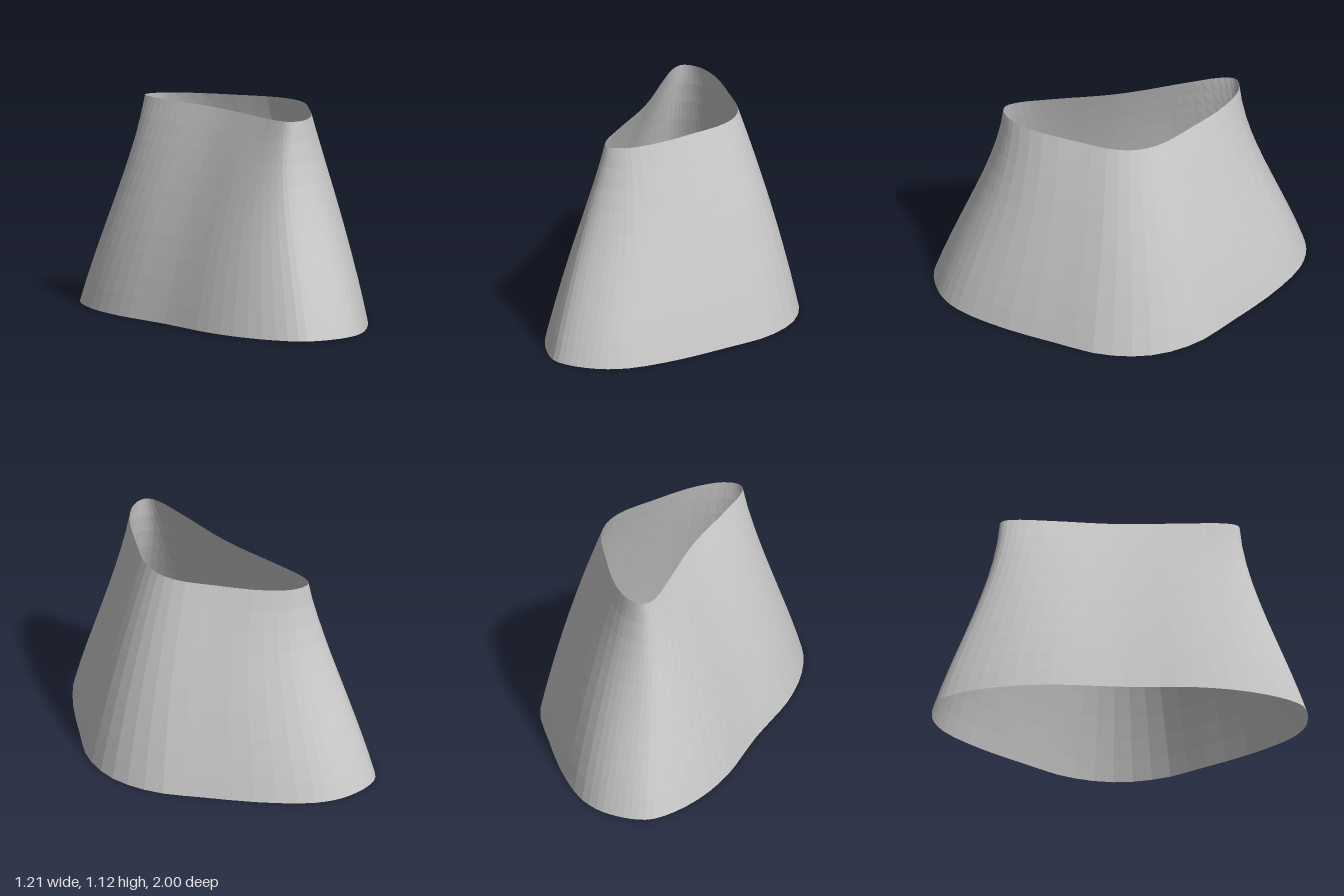
import * as THREE from 'three';

// Half outlines (x, z) from the nose (+x) round to the hollow side (-x); point i of one matches point i of the other.
const BASE = [[0.607, 0], [0.55, 0.25], [0.4, 0.475], [0.2, 0.74], [0.01, 0.925], [-0.12, 0.987], [-0.22, 1],
  [-0.32, 0.992], [-0.41, 0.955], [-0.5, 0.83], [-0.575, 0.62], [-0.607, 0.38], [-0.6, 0.15], [-0.595, 0]];
const RIM = [[0.277, 0], [0.25, 0.13], [0.14, 0.31], [0.01, 0.5], [-0.1, 0.605], [-0.16, 0.633], [-0.2, 0.638],
  [-0.228, 0.63], [-0.248, 0.605], [-0.26, 0.53], [-0.255, 0.42], [-0.245, 0.28], [-0.232, 0.13], [-0.227, 0]];
const HEIGHT = 1.125, SIDES = 64, ROWS = 10;

// Mirror a half outline over z and run a closed smooth curve through it.
function outline(half) {
  const mirrored = half.slice(1, -1).reverse().map(([x, z]) => [x, -z]);
  const points = [...half, ...mirrored].map(([x, z]) => new THREE.Vector3(x, 0, z));
  return new THREE.CatmullRomCurve3(points, true, 'centripetal');
}

export function createModel() {
  const base = outline(BASE), rim = outline(RIM);
  const positions = [], index = [];

  // Rings from base to rim, bulging out sideways and pinching in at the long ends.
  for (let r = 0; r <= ROWS; r++) {
    const t = r / ROWS;
    for (let s = 0; s < SIDES; s++) {
      const a = base.getPoint(s / SIDES), b = rim.getPoint(s / SIDES);
      const p = a.clone().lerp(b, t);
      const bulge = 0.09 * t * (1 - t) * THREE.MathUtils.clamp((a.x + 0.22) / 0.35, -1, 1);
      const pinch = 0.27 * t * t * (1 - t) * a.z * Math.abs(a.z);
      positions.push(p.x + bulge, t * HEIGHT, p.z - pinch);
    }
  }
  for (let r = 0; r < ROWS; r++) {
    for (let s = 0; s < SIDES; s++) {
      const n = (s + 1) % SIDES;
      const a = r * SIDES + s, b = r * SIDES + n, c = a + SIDES, d = b + SIDES;
      index.push(a, c, b, b, c, d);
    }
  }
  const geometry = new THREE.BufferGeometry();
  geometry.setAttribute('position', new THREE.Float32BufferAttribute(positions, 3));
  geometry.setIndex(index);
  geometry.computeVertexNormals();

  // Thin shell, open at both ends.
  const shell = new THREE.Mesh(geometry, new THREE.MeshStandardMaterial({
    color: 0xcccccc, flatShading: true, side: THREE.DoubleSide,
  }));
  shell.name = 'taperedShell';

  const group = new THREE.Group();
  group.name = 'openTaperedSleeve';
  group.add(shell);
  return group;
}
